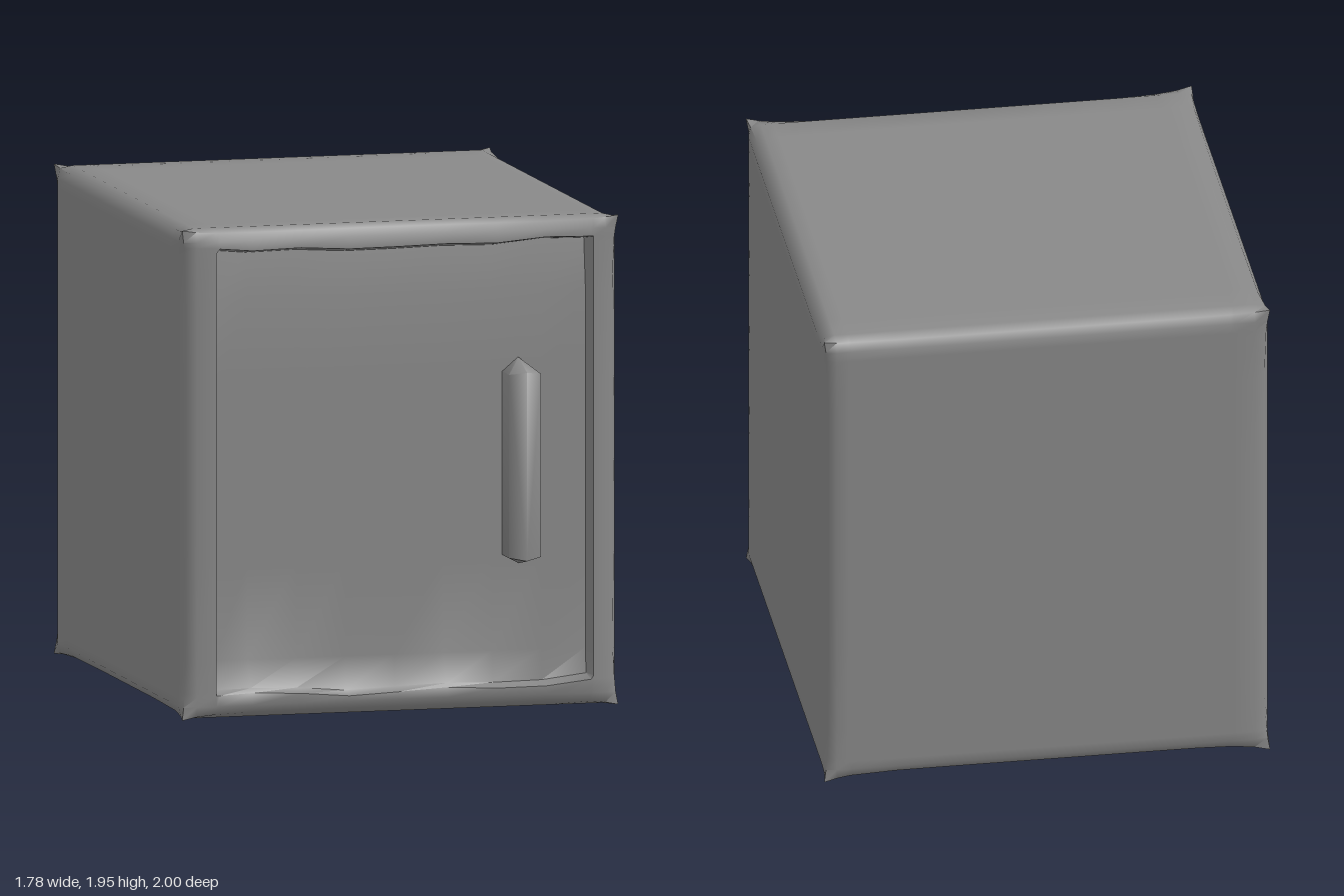
import * as THREE from 'three';
import { toCreasedNormals } from 'three/addons/utils/BufferGeometryUtils.js';
import { ConvexGeometry } from 'three/addons/geometries/ConvexGeometry.js';

const material = () => new THREE.MeshStandardMaterial({ color: 0x888888 });

// Grid lines of the body; the close pairs form the steep walls of the door recess
const xs = [-0.89, -0.83, -0.75, -0.735, -0.6, -0.4, -0.2, 0, 0.2, 0.4, 0.6, 0.78, 0.79, 0.84, 0.89];
const ys = [0, 0.05, 0.085, 0.1, 0.22, 0.6, 0.97, 1.3, 1.65, 1.84, 1.86, 1.9, 1.95];
const zs = [-1, -0.94, -0.8, -0.4, 0, 0.45, 0.78, 0.89, 0.95];

function bodyGeometry() {
  const stops = [xs, ys, zs];
  const geo = new THREE.BoxGeometry(1, 1, 1, xs.length - 1, ys.length - 1, zs.length - 1);
  const pos = geo.attributes.position;
  for (let i = 0; i < pos.count; i++) {
    const index = [pos.getX(i), pos.getY(i), pos.getZ(i)]
      .map((v, a) => Math.round((v + 0.5) * (stops[a].length - 1)));
    const p = index.map((n, a) => stops[a][n]);
    const u = p.map((v, a) => {
      const lo = stops[a][0], hi = stops[a].at(-1);
      return (2 * (v - lo)) / (hi - lo) - 1;
    });
    const [x, y] = p;
    const outer = u.map((v) => Math.abs(v) > 0.999);

    // soften the edges, leaving the corners slightly pointed
    if (outer.filter(Boolean).length === 2) {
      const along = u[outer.indexOf(false)];
      const inset = 0.02 * (1 - along ** 10);
      outer.forEach((o, a) => { if (o) p[a] -= Math.sign(u[a]) * inset; });
    }

    // front: sunken door, uneven rim along the top and bottom
    if (u[2] > 0.999) {
      const bow = Math.max(0, 1 - (x / 0.75) ** 2);
      const inDoor = x > -0.74 && x < 0.785 && y > 0.09 && y < 1.85;
      if (inDoor) {
        p[2] = 0.86;
        if (y > 1.8) p[2] = 0.835;
        // crumpled folds along the foot of the door
        if (y < 0.12) p[2] = 0.87 + 0.04 * Math.max(0, Math.cos((x + 0.6) * 2.5 * Math.PI));
      } else if (y > 1.8 || y < 0.12) {
        p[2] -= 0.025 * bow;
      }
      if (y > 1.8 && y < 1.88) p[1] += 0.012 - 0.02 * bow + 0.006 * Math.sin(13 * x);
      if (y > 0.06 && y < 0.12) p[1] += 0.012 - 0.018 * bow + 0.01 * Math.sin(9 * x);
    }
    pos.setXYZ(i, ...p);
  }
  geo.deleteAttribute('uv');
  return toCreasedNormals(geo, 1.25);
}

// Upright bar with pointed ends and a soft ridge down its front
function handleGeometry() {
  const outline = [[0.44, 0.6], [0.505, 0.565], [0.57, 0.6], [0.57, 1.33], [0.505, 1.385], [0.44, 1.33]];
  const points = [];
  for (const [x, y] of outline) {
    points.push(new THREE.Vector3(x, y, 0.82));
    points.push(new THREE.Vector3(x, y, x === 0.505 ? 0.87 : 0.965));
  }
  points.push(new THREE.Vector3(0.505, 0.59, 1), new THREE.Vector3(0.505, 1.34, 1));
  return toCreasedNormals(new ConvexGeometry(points), 1.2);
}

export function createModel() {
  const group = new THREE.Group();
  group.name = 'cabinet';

  const body = new THREE.Mesh(bodyGeometry(), material());
  body.name = 'bodyWithDoor';

  const handle = new THREE.Mesh(handleGeometry(), material());
  handle.name = 'doorHandle';

  group.add(body, handle);
  return group;
}
